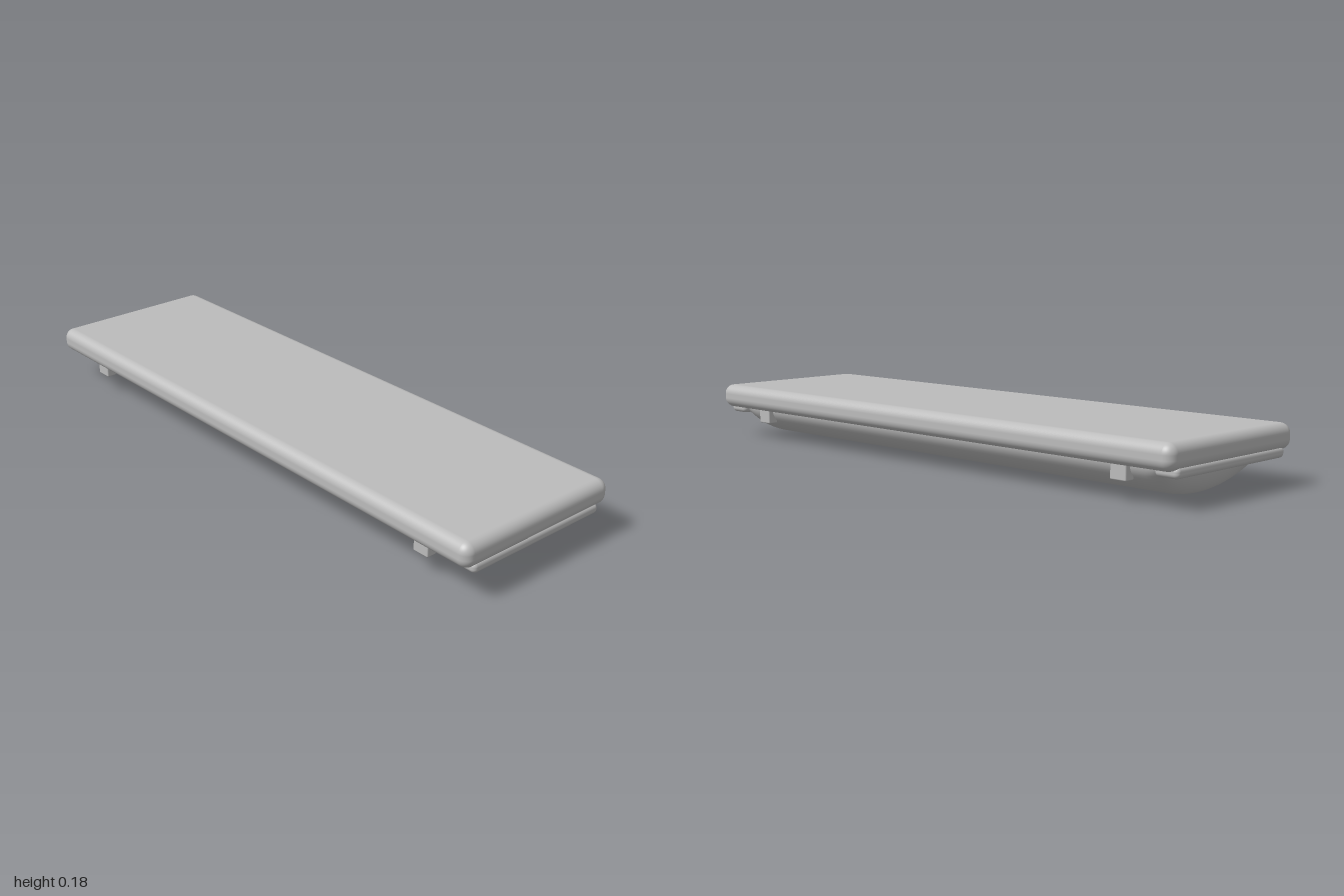
import * as THREE from 'three';
import { RoundedBoxGeometry } from 'three/addons/geometries/RoundedBoxGeometry.js';
import { ParametricGeometry } from 'three/addons/geometries/ParametricGeometry.js';

export function createModel() {
  const group = new THREE.Group();
  const grey = new THREE.MeshStandardMaterial({ color: 0xbcbcbc });
  grey.name = 'greyPlastic';

  const add = (name, geometry, x = 0, y = 0, z = 0) => {
    const mesh = new THREE.Mesh(geometry, grey);
    mesh.name = name;
    mesh.position.set(x, y, z);
    group.add(mesh);
  };

  // Mounting panel
  add('panel', new RoundedBoxGeometry(2, 0.079, 0.59, 6, 0.032), 0, 0.1455, 0);

  // Bowed diffuser: half-ellipse section whose depth rounds off at both ends
  const rimY = 0.11, depth = 0.109, halfWidth = 0.243;
  const bow = (u, v, target) => {
    const t = 2 * u - 1, side = Math.sign(t), flat = 0.4;
    const k = Math.max(0, (Math.abs(t) - flat) / (1 - flat)) * Math.PI / 2;
    const x = k > 0 ? side * (0.86 + 0.075 * Math.sin(k)) : 0.86 * t / flat;
    const a = Math.PI * v;
    target.set(x, rimY - depth * Math.cos(k) * Math.sin(a), -halfWidth * Math.cos(a));
  };
  add('diffuser', new ParametricGeometry(bow, 40, 40));

  for (const side of [-1, 1]) {
    // End strips under the panel
    add('endStrip', new RoundedBoxGeometry(0.08, 0.033, 0.514, 4, 0.014), side * 0.955, 0.1015, 0);
    // Retaining clips, two on each long edge
    for (const edge of [-1, 1]) {
      add('clip', new RoundedBoxGeometry(0.056, 0.06, 0.035, 2, 0.004), side * 0.797, 0.09, edge * 0.241);
    }
  }
  return group;
}
